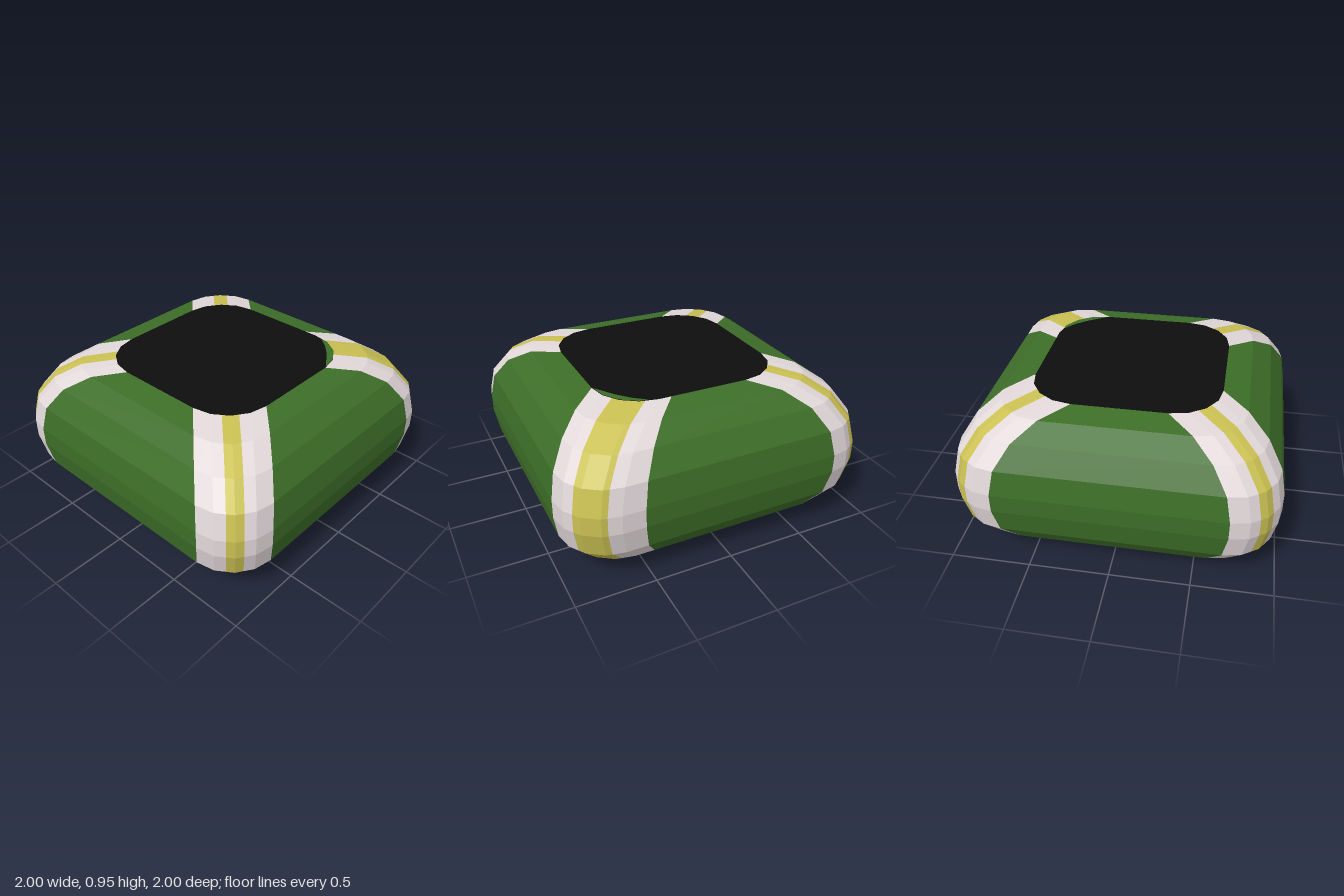
import * as THREE from 'three';

// Half width of the body at each height
const PROFILE = [
  [0.59, 0], [0.75, 0.03], [0.88, 0.12], [0.97, 0.25], [1, 0.41],
  [1, 0.53], [0.97, 0.69], [0.88, 0.83], [0.75, 0.92], [0.59, 0.95],
];
const R = 0.3; // corner radius, the same at every height

// Corner outline, from the front-side tangent round to the side tangent
const ARC = [[0, 0.3], [0.115, 0.277], [0.17, 0.24], [0.212, 0.212], [0.24, 0.17], [0.277, 0.115], [0.3, 0]];
// The front left corner has a wider band and stripe
const WIDE_ARC = [[0, 0.3], [0.115, 0.277], [0.17, 0.24], [0.212, 0.212], [0.277, 0.115], [0.284, 0.08], [0.3, 0], [0.3, -0.14]];

// Quarter turns about the vertical axis
function turn([x, z], n) {
  for (let i = 0; i < n; i++) [x, z] = [z, -x];
  return [x, z];
}

// Position of a corner-relative point at one profile row
function place([u, v], corner, [half, y]) {
  const k = (half - 0.59) / 0.41;
  const dv = v < 0 ? v * (0.57 + 0.43 * k) : v;
  const [x, z] = turn([half - R + u, half - R + dv], corner);
  return [x, y, z];
}

// Faceted strip through a list of [point, corner] columns over all rows
function strip(columns) {
  const pos = [];
  for (let i = 0; i < columns.length - 1; i++) {
    for (let j = 0; j < PROFILE.length - 1; j++) {
      const a0 = place(...columns[i], PROFILE[j]);
      const b0 = place(...columns[i + 1], PROFILE[j]);
      const a1 = place(...columns[i], PROFILE[j + 1]);
      const b1 = place(...columns[i + 1], PROFILE[j + 1]);
      pos.push(...a0, ...b0, ...b1, ...a0, ...b1, ...a1);
    }
  }
  const geo = new THREE.BufferGeometry();
  geo.setAttribute('position', new THREE.Float32BufferAttribute(pos, 3));
  geo.computeVertexNormals();
  return geo;
}

// Flat horizontal plate from x, z points
function plate(points, up) {
  const s = up ? -1 : 1;
  const shape = new THREE.Shape(points.map(([x, z]) => new THREE.Vector2(x, s * z)));
  return new THREE.ShapeGeometry(shape).rotateX(s * Math.PI / 2);
}

export function createModel() {
  const group = new THREE.Group();
  const material = (name, color) => {
    const m = new THREE.MeshStandardMaterial({ color });
    m.name = name;
    return m;
  };
  const green = material('green', 0x3d6e28);
  const white = material('offWhite', 0xe2d8da);
  const yellow = material('yellow', 0xcac053);
  const black = material('black', 0x0e0e0e);

  const add = (name, geo, mat, y = 0) => {
    const mesh = new THREE.Mesh(geo, mat);
    mesh.name = name;
    mesh.position.y = y;
    group.add(mesh);
  };

  // Four corner bands with a central stripe, joined by four side panels
  const arcs = [WIDE_ARC, ARC, ARC, ARC];
  const corners = ['FrontLeft', 'BackLeft', 'BackRight', 'FrontRight'];
  const sides = ['Left', 'Back', 'Right', 'Front'];
  const cap = [];
  arcs.forEach((arc, c) => {
    const cols = arc.map((p) => [p, c]);
    const end = c === 0 ? 5 : 4;
    add('bandA' + corners[c], strip(cols.slice(0, 3)), white);
    add('stripe' + corners[c], strip(cols.slice(2, end + 1)), yellow);
    add('bandB' + corners[c], strip(cols.slice(end)), white);
    const next = (c + 1) % 4;
    add('panel' + sides[c], strip([cols[cols.length - 1], [arcs[next][0], next]]), green);
    for (const p of ARC) {
      const [x, , z] = place(p, c, PROFILE[0]);
      cap.push([x, z]);
    }
  });

  // Flat ends
  add('topCap', plate(cap, true), black, 0.95);
  add('bottomCap', plate(cap, false), black, 0);

  // Small green sliver at the front left corner of the top
  const sliver = [[0.3, 0.585], [0.405, 0.567], [0.502, 0.502], [0.567, 0.405], [0.575, 0.35], [0.51, 0.43], [0.43, 0.5]];
  add('topSliver', plate(sliver, true), green, 0.953);

  return group;
}
